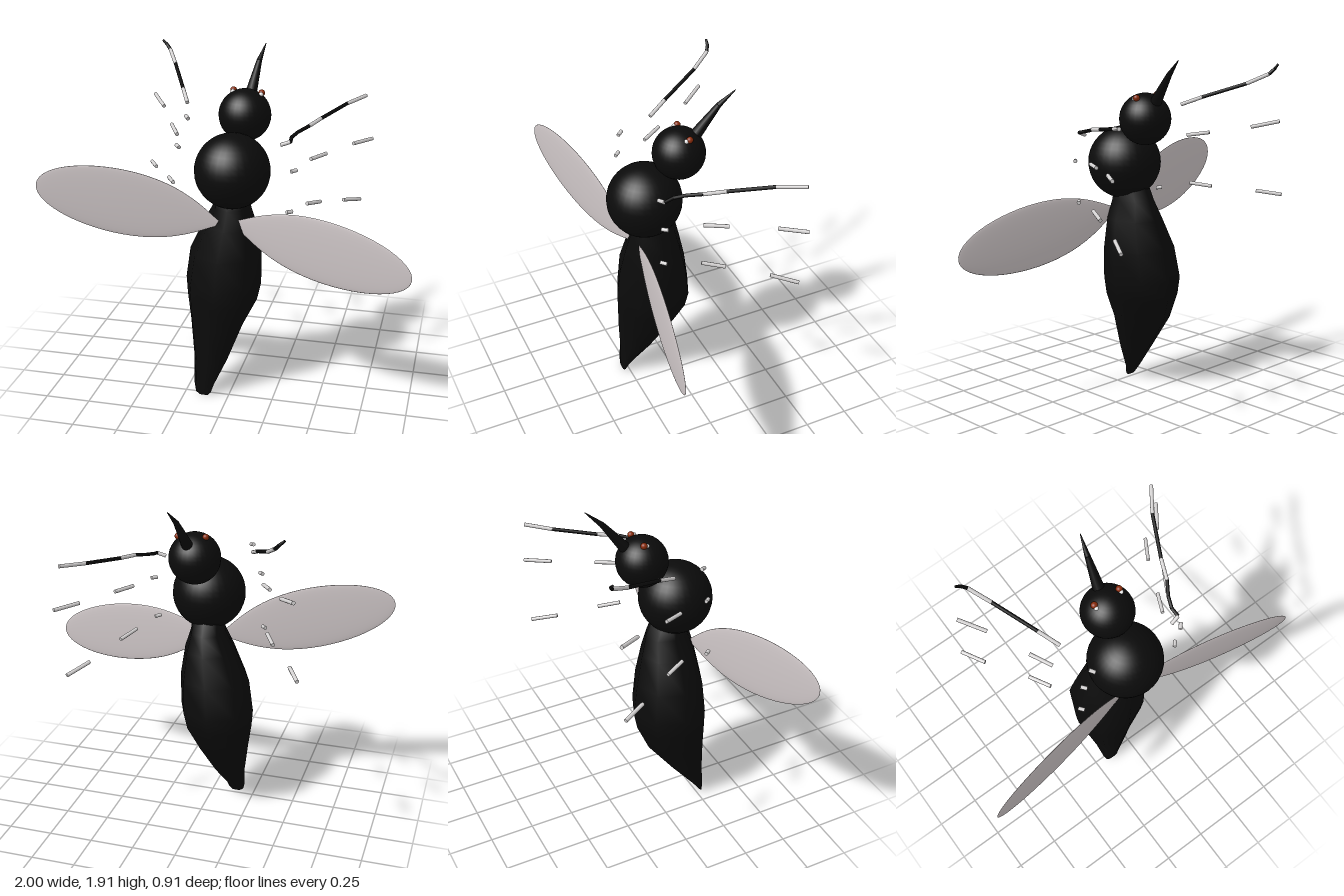
import * as THREE from 'three';

const mat = (name, color) => {
  const m = new THREE.MeshStandardMaterial({ color });
  m.name = name;
  return m;
};

export function createModel() {
  const model = new THREE.Group();
  model.name = 'insect';
  const black = mat('bodyBlack', 0x0b0b0b);
  const wingGrey = mat('wingGrey', 0xcfc7c8);
  const bandGrey = mat('bandGrey', 0xd4d2d2);
  const eyeRed = mat('eyeRed', 0x8a2c0a);
  const white = mat('eyeWhite', 0xffffff);

  const add = (name, geo, material, pos = [0, 0, 0], parent = model) => {
    const mesh = new THREE.Mesh(geo, material);
    mesh.name = name;
    mesh.position.set(...pos);
    parent.add(mesh);
    return mesh;
  };
  const ball = (name, r, material, pos) => add(name, new THREE.SphereGeometry(r, 32, 20), material, pos);

  // Capped rod between two points
  const rod = (name, a, b, ra, rb, material, parent = model) => {
    const p = new THREE.Vector3(...a), q = new THREE.Vector3(...b);
    const d = q.clone().sub(p);
    const mesh = add(name, new THREE.CylinderGeometry(rb, ra, d.length(), 10), material,
      p.clone().add(q).multiplyScalar(0.5).toArray(), parent);
    mesh.quaternion.setFromUnitVectors(new THREE.Vector3(0, 1, 0), d.normalize());
  };

  // Head and thorax
  ball('thorax', 0.204, black, [0.005, 1.317, 0.175]);
  ball('head', 0.142, black, [0.03, 1.575, -0.015]);

  // Eyes with a small pale front
  for (const [x, y] of [[-0.037, 1.703], [0.117, 1.695]]) {
    ball('eye', 0.018, eyeRed, [x, y, -0.036]);
    ball('eyeHighlight', 0.012, white, [x, y - 0.004, -0.018]);
  }

  // Proboscis: tapered, with a slight bend near the tip
  rod('proboscisBase', [0.04, 1.65, -0.09], [0.062, 1.825, -0.225], 0.034, 0.015, black);
  rod('proboscisTip', [0.062, 1.825, -0.225], [0.082, 1.905, -0.31], 0.015, 0.002, black);

  // Abdomen: eight-sided cross-sections [y, xMin, xMax, zMin, zMax]
  const rings = [
    [1.25, -0.09, 0.08, 0.06, 0.22],
    [1.11, -0.11, 0.095, -0.01, 0.25],
    [1.0, -0.17, 0.13, -0.04, 0.28],
    [0.83, -0.25, 0.155, -0.085, 0.31],
    [0.65, -0.278, 0.152, -0.114, 0.325],
    [0.55, -0.27, 0.13, -0.097, 0.322],
    [0.4, -0.245, 0.055, -0.035, 0.313],
    [0.2, -0.21, -0.02, 0.115, 0.3],
    [0.06, -0.197, -0.085, 0.232, 0.292],
    [0.015, -0.185, -0.1, 0.268, 0.288],
    [0, -0.165, -0.115, 0.276, 0.286]
  ];
  const N = 8, verts = [], idx = [];
  rings.forEach(([y, x0, x1, z0, z1], i) => {
    for (let j = 0; j < N; j++) {
      const a = (j / N) * Math.PI * 2;
      verts.push((x0 + x1) / 2 + Math.cos(a) * (x1 - x0) / 2, y,
        (z0 + z1) / 2 + Math.sin(a) * (z1 - z0) / 2);
      if (i === rings.length - 1) continue;
      const p = i * N + j, q = i * N + (j + 1) % N;
      idx.push(p, q, p + N, q, q + N, p + N);
    }
  });
  const last = (rings.length - 1) * N;
  for (let j = 1; j < N - 1; j++) {
    idx.push(last, last + j, last + j + 1);
    idx.push(0, j + 1, j);
  }
  const abdomen = new THREE.BufferGeometry();
  abdomen.setAttribute('position', new THREE.Float32BufferAttribute(verts, 3));
  abdomen.setIndex(idx);
  abdomen.computeVertexNormals();
  add('abdomen', abdomen, black);

  // Wings: a sphere reshaped into a thin teardrop running along +x
  const wing = new THREE.SphereGeometry(1, 40, 28);
  wing.rotateZ(-Math.PI / 2);
  const pos = wing.attributes.position;
  for (let i = 0; i < pos.count; i++) {
    const t = (pos.getX(i) + 1) / 2;
    const w = 1 - 0.85 * Math.exp(-t / 0.16);
    pos.setXYZ(i, t, pos.getY(i) * w * 0.182, pos.getZ(i) * w * 0.011);
  }
  wing.computeVertexNormals();
  const leftWing = add('leftWing', wing, wingGrey, [0.01, 1.045, 0.225]);
  leftWing.rotation.set(0, -0.175, -0.17);
  leftWing.scale.x = 1.015;
  const rightWing = add('rightWing', wing, wingGrey, [-0.035, 1.035, 0.24]);
  rightWing.rotation.set(0, 0.212, Math.PI - 0.225);
  rightWing.scale.set(1.012, 1.03, 1);

  // Legs: three pale bands each, as start and end points
  const legs = {
    leftFrontLeg: [[0.27, 1.49, 0.21], [0.32, 1.507, 0.2], [0.385, 1.545, 0.02], [0.43, 1.558, -0.09], [0.54, 1.59, -0.31], [0.63, 1.608, -0.44]],
    leftMiddleLeg: [[0.33, 1.353, 0.222], [0.355, 1.355, 0.195], [0.4, 1.363, 0.02], [0.465, 1.363, -0.095], [0.585, 1.363, -0.31], [0.675, 1.36, -0.44]],
    leftHindLeg: [[0.31, 1.125, 0.222], [0.335, 1.122, 0.195], [0.385, 1.108, 0.02], [0.44, 1.083, -0.095], [0.54, 1.025, -0.31], [0.62, 0.99, -0.44]],
    rightFrontLeg: [[-0.22, 1.602, 0.222], [-0.24, 1.61, 0.195], [-0.283, 1.63, 0.01], [-0.336, 1.675, -0.1], [-0.445, 1.757, -0.33], [-0.505, 1.812, -0.437]],
    rightMiddleLeg: [[-0.272, 1.442, 0.222], [-0.295, 1.446, 0.195], [-0.342, 1.45, 0.02], [-0.405, 1.47, -0.095], [-0.513, 1.51, -0.31], [-0.605, 1.545, -0.44]],
    rightHindLeg: [[-0.295, 1.125, 0.222], [-0.318, 1.128, 0.195], [-0.37, 1.17, 0.02], [-0.43, 1.157, -0.095], [-0.57, 1.14, -0.31], [-0.638, 1.126, -0.44]]
  };
  for (const [name, p] of Object.entries(legs)) {
    const leg = new THREE.Group();
    leg.name = name;
    model.add(leg);
    for (let i = 0; i < 6; i += 2) rod('legBand', p[i], p[i + 1], 0.0105, 0.0105, bandGrey, leg);

    // Only the front legs keep their dark segments
    if (!name.includes('Front')) continue;
    rod('legSegment', p[3], p[4], 0.01, 0.01, black, leg);
    if (name === 'leftFrontLeg') {
      const bend = [p[1], [0.317, 1.518, 0.15], [0.34, 1.53, 0.09], p[2]];
      for (let i = 0; i < 3; i++) rod('legSegment', bend[i], bend[i + 1], 0.0095, 0.0095, black, leg);
    } else {
      rod('legTip', p[5], [-0.53, 1.838, -0.454], 0.01, 0.009, black, leg);
      rod('legTip', [-0.53, 1.838, -0.454], [-0.556, 1.862, -0.457], 0.009, 0.006, black, leg);
    }
  }
  return model;
}
